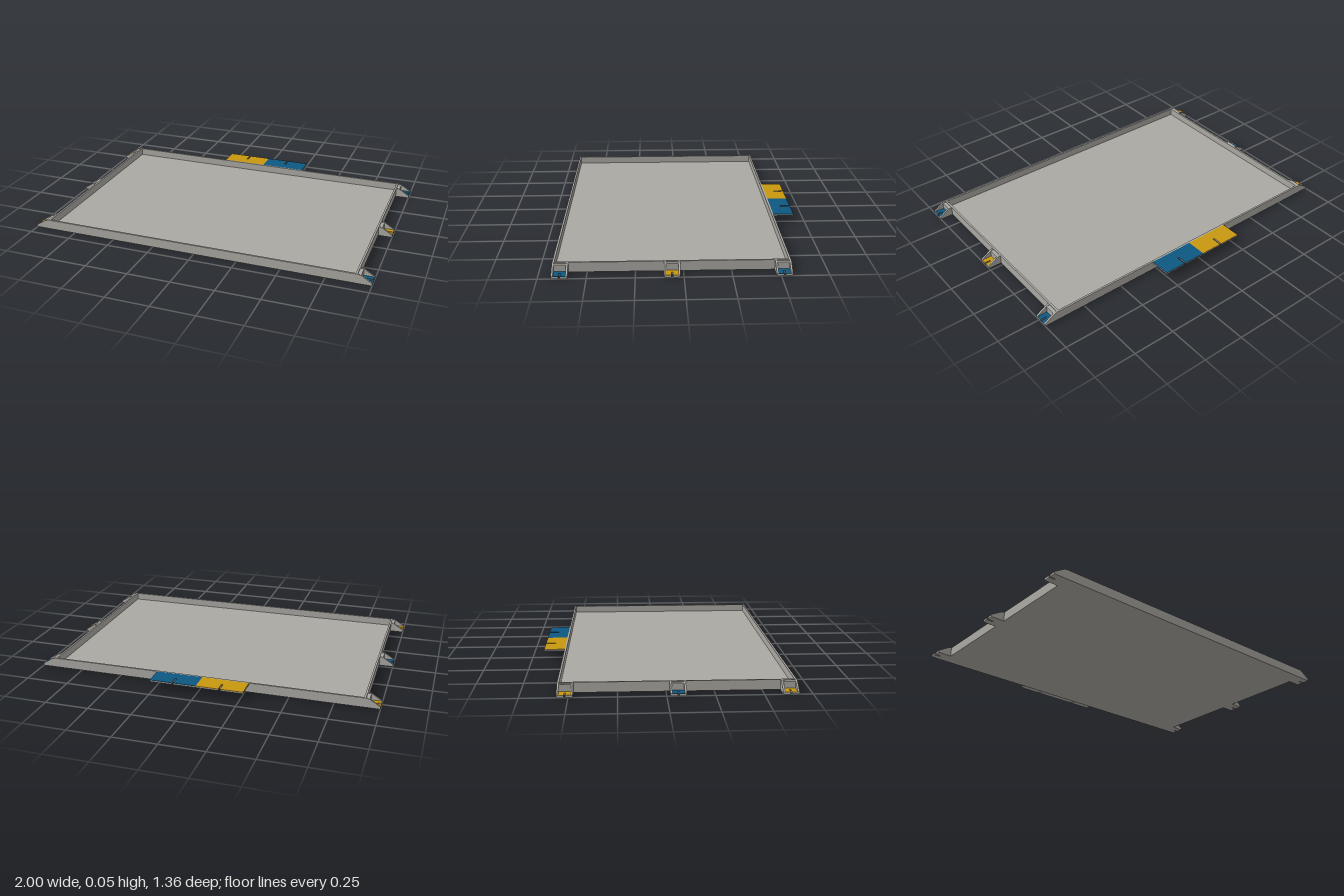
import * as THREE from 'three';

const grey = new THREE.MeshStandardMaterial({ color: 0xaaa8a2 });
grey.name = 'grey body';
const yellow = new THREE.MeshStandardMaterial({ color: 0xc9970f });
yellow.name = 'yellow marking';
const blue = new THREE.MeshStandardMaterial({ color: 0x0d5781 });
blue.name = 'blue marking';

// Box given by its minimum and maximum corners
function box(name, material, min, max) {
  const size = max.map((v, i) => v - min[i]);
  const mesh = new THREE.Mesh(new THREE.BoxGeometry(...size), material);
  mesh.position.set(...max.map((v, i) => (v + min[i]) / 2));
  mesh.name = name;
  return mesh;
}

// Horizontal plate with a narrow slot cut into its far (+u) edge, centred on v = 0
function slottedPlate(name, material, length, halfWidth, slotLength, slotWidth, bottom, top) {
  const s = slotWidth / 2;
  const shape = new THREE.Shape([
    [0, -halfWidth], [length, -halfWidth], [length, -s], [length - slotLength, -s],
    [length - slotLength, s], [length, s], [length, halfWidth], [0, halfWidth],
  ].map(([u, v]) => new THREE.Vector2(u, v)));
  const geometry = new THREE.ExtrudeGeometry(shape, { depth: top - bottom, bevelEnabled: false });
  geometry.rotateX(-Math.PI / 2).translate(0, bottom, 0);
  const mesh = new THREE.Mesh(geometry, material);
  mesh.name = name;
  return mesh;
}

// Side lug pointing along +x, with sloped cheeks around a coloured pocket floor
function makeLug(material) {
  const lug = new THREE.Group();
  const half = 0.042, cheek = 0.01;
  const floor = slottedPlate('lugFloor', grey, 0.08, half, 0.035, 0.008, 0, 0.011);
  const marking = slottedPlate('lugMarking', material, 0.06, half - cheek, 0.035, 0.008, 0.011, 0.013);
  marking.position.x = 0.02;
  lug.add(floor, marking);
  lug.add(box('lugBack', grey, [0, 0.011, -half + cheek], [0.02, 0.05, half - cheek]));

  const profile = new THREE.Shape([
    [0, 0.011], [0.08, 0.011], [0.08, 0.014], [0.022, 0.05], [0.004, 0.055], [0, 0.055],
  ].map(([x, y]) => new THREE.Vector2(x, y)));
  for (const z of [-half, half - cheek]) {
    const geometry = new THREE.ExtrudeGeometry(profile, { depth: cheek, bevelEnabled: false });
    const mesh = new THREE.Mesh(geometry, grey);
    mesh.position.z = z;
    mesh.name = 'lugCheek';
    lug.add(mesh);
  }
  return lug;
}

export function createModel() {
  const model = new THREE.Group();
  model.name = 'tray';
  const X = 0.92, back = -0.56, front = 0.68, wall = 0.011, height = 0.055, floorTop = 0.011;

  // Floor and rim
  model.add(box('floor', grey, [-X, 0, back], [X, floorTop, front]));
  model.add(box('backWall', grey, [-X, floorTop, back], [X, height, back + wall]));
  model.add(box('frontWall', grey, [-X, floorTop, front - wall], [X, height, front]));
  for (const side of [-1, 1]) {
    const a = side * X, b = side * (X - wall);
    model.add(box('sideWall', grey,
      [Math.min(a, b), floorTop, back + wall], [Math.max(a, b), height, front - wall]));
  }

  // Three lugs on each side, with alternating colours
  [-0.518, 0.06, 0.638].forEach((z, i) => {
    for (const side of [-1, 1]) {
      const lug = makeLug((side > 0) === (i !== 1) ? blue : yellow);
      lug.name = side > 0 ? 'leftLug' : 'rightLug';
      lug.position.set(side * X, 0, z);
      if (side < 0) lug.rotation.y = Math.PI;
      model.add(lug);
    }
  });

  // Pair of slotted tabs behind the back wall
  for (const side of [-1, 1]) {
    const tab = new THREE.Group();
    tab.name = side > 0 ? 'leftTab' : 'rightTab';
    tab.add(slottedPlate('tabPlate', grey, 0.12, 0.136, 0.06, 0.01, 0.045, 0.053));
    tab.add(slottedPlate('tabMarking', side > 0 ? blue : yellow, 0.12, 0.136, 0.06, 0.01, 0.053, 0.055));
    tab.rotation.y = Math.PI / 2;
    tab.position.set(side * 0.136, 0, back);
    model.add(tab);
  }
  return model;
}
